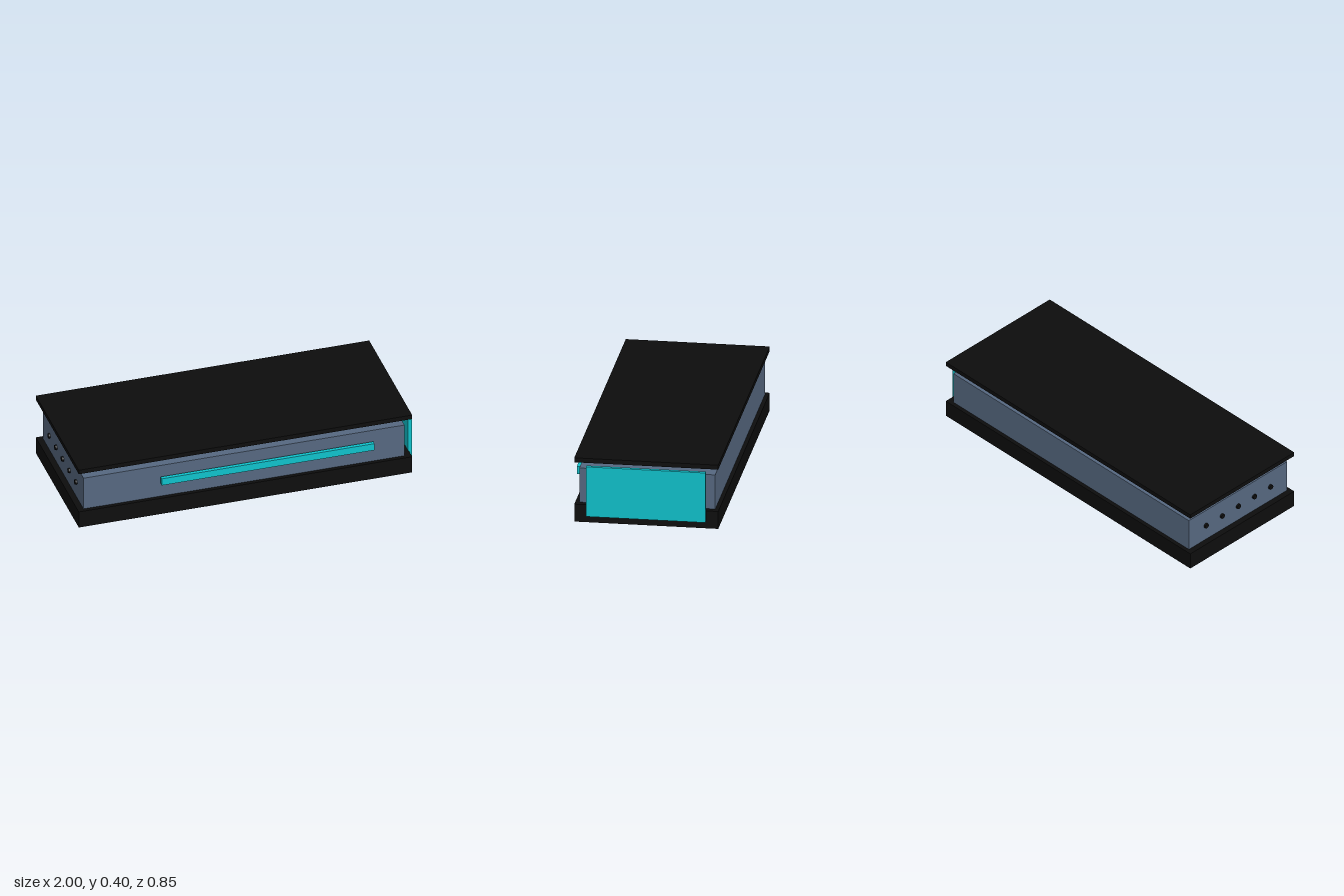
import * as THREE from 'three';

export function createModel() {
  const model = new THREE.Group();
  const material = (name, color) => {
    const m = new THREE.MeshStandardMaterial({ color });
    m.name = name;
    return m;
  };
  const black = material('black', 0x0d0d0d);
  const slate = material('slate', 0x566880);
  const cyan = material('cyan', 0x0fc2cc);

  const add = (name, geometry, mat, x, y, z, parent = model) => {
    const mesh = new THREE.Mesh(geometry, mat);
    mesh.name = name;
    mesh.position.set(x, y, z);
    parent.add(mesh);
    return mesh;
  };
  // Box given by its lower and upper limits on each axis
  const slab = (name, mat, [x0, x1], [y0, y1], [z0, z1]) =>
    add(name, new THREE.BoxGeometry(x1 - x0, y1 - y0, z1 - z0), mat,
      (x0 + x1) / 2, (y0 + y1) / 2, (z0 + z1) / 2);

  // Casing: heavy base, inset body and floating lid
  slab('base', black, [-1, 0.98], [0.015, 0.12], [-0.423, 0.403]);
  slab('body', slate, [-0.965, 0.942], [0.11, 0.326], [-0.4, 0.38]);
  slab('lid', black, [-1, 0.98], [0.373, 0.4], [-0.423, 0.403]);

  // Coloured end panel and front light bar
  slab('endPanel', cyan, [0.977, 1], [0.056, 0.356], [-0.352, 0.333]);
  slab('lightBar', cyan, [-0.513, 0.75], [0.219, 0.263], [0.4, 0.423]);

  // Five round ports, showing at both ends of the body
  const portGeometry = new THREE.CylinderGeometry(0.015, 0.015, 0.02, 16);
  portGeometry.rotateZ(Math.PI / 2);
  for (const x of [-0.966, 0.944]) {
    for (let i = -2; i <= 2; i++) add('port', portGeometry, black, x, 0.22, -0.01 + i * 0.128);
  }

  // Three fans under the base: a flat hub with pitched blades
  const bladeCount = 7;
  const hubGeometry = new THREE.CylinderGeometry(0.085, 0.085, 0.008, 24);
  const bladeGeometry = new THREE.BoxGeometry(0.135, 0.008, 0.07);
  bladeGeometry.rotateX(0.3);
  bladeGeometry.translate(0.147, 0, 0);
  for (const x of [-0.625, -0.01, 0.605]) {
    const fan = new THREE.Group();
    fan.name = 'fan';
    fan.position.set(x, 0.014, -0.01);
    model.add(fan);
    add('fanHub', hubGeometry, slate, 0, 0, 0, fan);
    for (let i = 0; i < bladeCount; i++) {
      const blade = add('fanBlade', bladeGeometry, black, 0, 0, 0, fan);
      blade.rotation.y = (i / bladeCount) * Math.PI * 2;
    }
  }
  return model;
}
